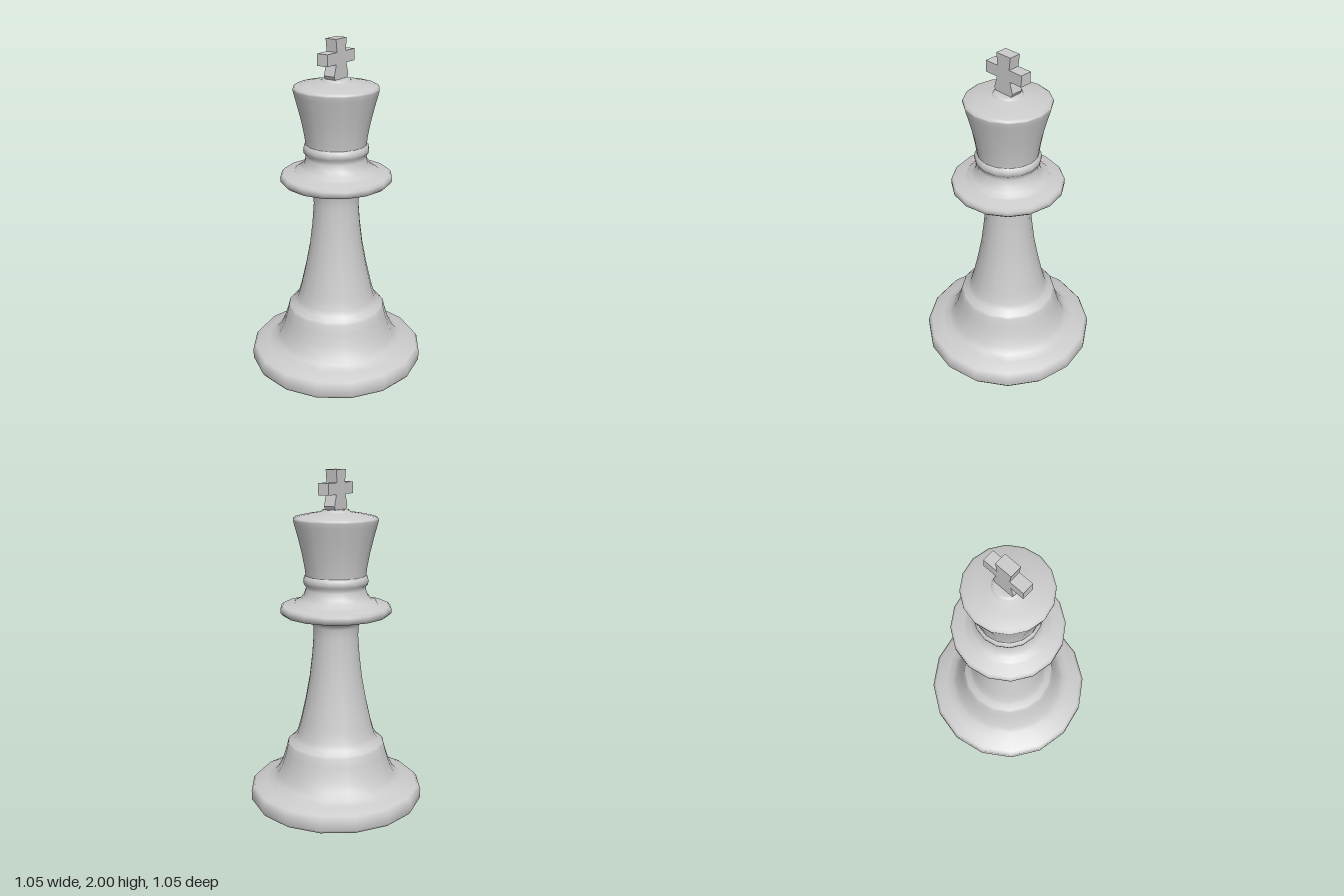
import * as THREE from 'three';

const SIDES = 16;
const material = new THREE.MeshStandardMaterial({ color: 0xcccccc });

function addMesh(group, name, geometry) {
  const mesh = new THREE.Mesh(geometry, material);
  mesh.name = name;
  group.add(mesh);
  return mesh;
}

// Smooth turned part from [radius, height] pairs, listed upward
function turned(profile) {
  return new THREE.LatheGeometry(profile.map(([r, y]) => new THREE.Vector2(r, y)), SIDES);
}

export function createModel() {
  const group = new THREE.Group();
  group.name = 'chessKing';

  // Wide foot, bell and tapering stem, up to the underside of the collar
  addMesh(group, 'baseAndStem', turned([
    [0.485, 0.005], [0.51, 0.015], [0.524, 0.035], [0.525, 0.09], [0.505, 0.115],
    [0.43, 0.135], [0.385, 0.158], [0.358, 0.19], [0.33, 0.25], [0.308, 0.32],
    [0.296, 0.37], [0.285, 0.383], [0.255, 0.405], [0.237, 0.435], [0.218, 0.5],
    [0.186, 0.64], [0.16, 0.78], [0.143, 0.92], [0.134, 1.04], [0.135, 1.1],
    [0.145, 1.125], [0.17, 1.14],
  ]));

  // Flat underside
  const underside = addMesh(group, 'underside', new THREE.CircleGeometry(0.485, SIDES));
  underside.rotation.x = Math.PI / 2;
  underside.position.y = 0.005;
  const footPad = addMesh(group, 'footPad', new THREE.CylinderGeometry(0.4, 0.4, 0.005, SIDES));
  footPad.position.y = 0.0025;

  // Disc collar and the stepped neck above it
  addMesh(group, 'collarAndNeck', turned([
    [0.17, 1.14], [0.25, 1.155], [0.31, 1.17], [0.328, 1.187], [0.328, 1.212],
    [0.315, 1.226], [0.25, 1.236], [0.24, 1.248], [0.212, 1.26], [0.19, 1.285],
    [0.178, 1.32], [0.178, 1.34], [0.189, 1.352], [0.192, 1.37], [0.189, 1.388], [0.178, 1.4],
  ]));

  // Flared crown with a shallow domed lid
  addMesh(group, 'crown', turned([
    [0.178, 1.4], [0.184, 1.45], [0.199, 1.53], [0.221, 1.62], [0.24, 1.69],
    [0.247, 1.718], [0.246, 1.728], [0.232, 1.738], [0.16, 1.753], [0.09, 1.763],
    [0.083, 1.768], [0.08, 1.775], [0.06, 1.778], [0, 1.778],
  ]));

  // Cross finial: mirrored half outline, extruded flat
  const half = [
    [0.055, 1.77], [0.068, 1.797], [0.048, 1.862], [0.131, 1.862],
    [0.131, 1.928], [0.042, 1.928], [0.051, 2],
  ];
  const outline = [...half, ...half.slice().reverse().map(([x, y]) => [-x, y])];
  const shape = new THREE.Shape(outline.map(([x, y]) => new THREE.Vector2(x, y)));
  const cross = new THREE.ExtrudeGeometry(shape, { depth: 0.07, bevelEnabled: false });
  addMesh(group, 'cross', cross.translate(0, 0, -0.035));

  return group;
}
